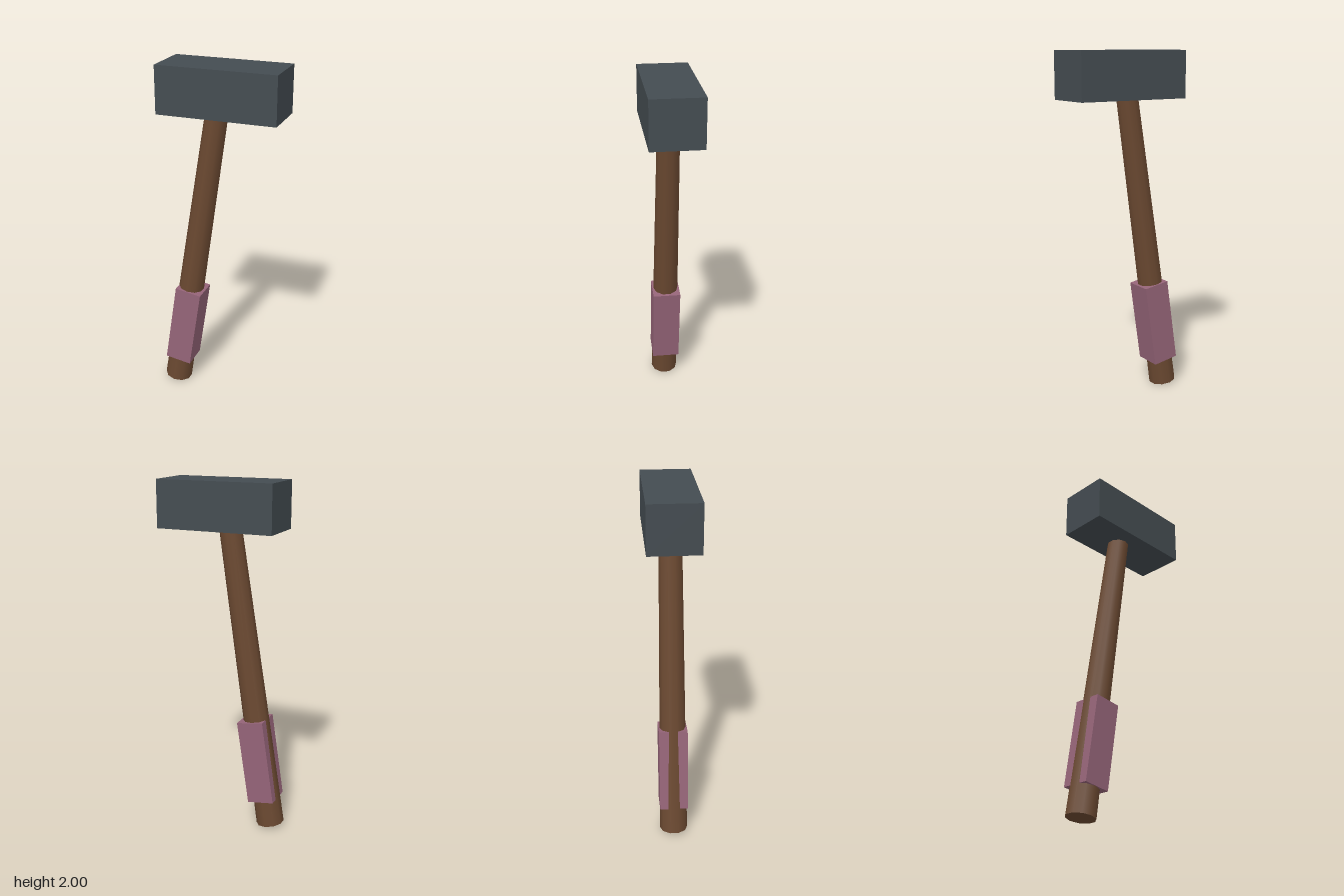
import * as THREE from 'three';

function part(name, geometry, color) {
  const mesh = new THREE.Mesh(geometry, new THREE.MeshStandardMaterial({ color }));
  mesh.name = name;
  return mesh;
}

export function createModel() {
  const hammer = new THREE.Group();
  hammer.name = 'hammer';

  // Upright block head
  const head = part('head', new THREE.BoxGeometry(0.674, 0.265, 0.286), 0x444c51);
  head.position.set(0.02, 1.8675, 0);
  hammer.add(head);

  // Leaning shaft assembly, its origin at the centre of the butt end
  const shaft = new THREE.Group();
  shaft.name = 'shaft';
  shaft.position.set(-0.282, 0.0115, 0);
  shaft.rotation.z = -0.15;
  hammer.add(shaft);

  // Ten-sided tapered handle, running up into the head
  const length = 1.86;
  const handle = part('handle', new THREE.CylinderGeometry(0.062, 0.081, length, 10), 0x6b4931);
  handle.position.y = length / 2;
  shaft.add(handle);

  // Square grip, set slightly off the handle axis
  const grip = part('grip', new THREE.BoxGeometry(0.156, 0.492, 0.163), 0x956478);
  grip.position.set(0.009, 0.402, 0);
  shaft.add(grip);

  return hammer;
}
